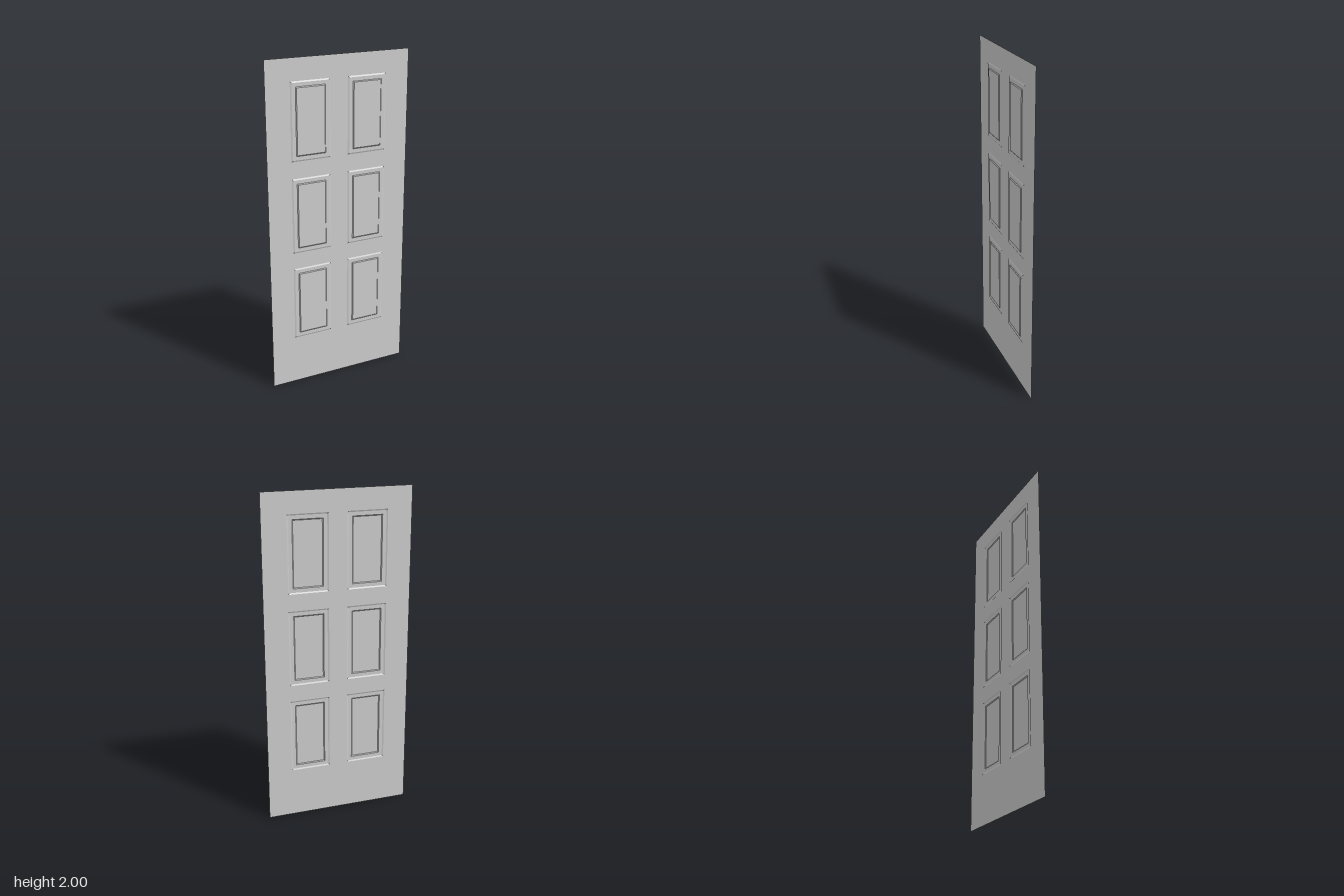
import * as THREE from 'three';

const W = 0.896, H = 2;
const HALF_W = 0.122, HALF_H = 0.228;   // outer half size of a raised panel
const COLUMNS = [-0.178, 0.178];
const ROWS = [0.53, 1.086, 1.643];
// inset from the panel outline and height above the sheet, step by step
const PROFILE = [[0, 0], [0.008, 0.004], [0.031, 0.004], [0.036, 0.008]];

function rectangle(PathType, cx, cy, hw, hh) {
  const p = new PathType();
  p.moveTo(cx - hw, cy - hh);
  p.lineTo(cx + hw, cy - hh);
  p.lineTo(cx + hw, cy + hh);
  p.lineTo(cx - hw, cy + hh);
  p.closePath();
  return p;
}

// Rectangular rings of the profile, joined by quads and closed by a flat field
function panelGeometry() {
  const pos = [], idx = [];
  for (const [inset, z] of PROFILE) {
    const w = HALF_W - inset, h = HALF_H - inset;
    pos.push(-w, -h, z, w, -h, z, w, h, z, -w, h, z);
  }
  for (let r = 0; r < PROFILE.length - 1; r++) {
    for (let i = 0; i < 4; i++) {
      const a = r * 4 + i, b = r * 4 + (i + 1) % 4;
      idx.push(a, b, b + 4, a, b + 4, a + 4);
    }
  }
  const k = (PROFILE.length - 1) * 4;
  idx.push(k, k + 1, k + 2, k, k + 2, k + 3);
  const indexed = new THREE.BufferGeometry();
  indexed.setAttribute('position', new THREE.Float32BufferAttribute(pos, 3));
  indexed.setIndex(idx);
  const geo = indexed.toNonIndexed();
  geo.computeVertexNormals();
  return geo;
}

export function createModel() {
  const model = new THREE.Group();
  model.name = 'door';
  const material = new THREE.MeshStandardMaterial({ color: 0xcccccc, side: THREE.DoubleSide });

  // Thin door sheet, open where the panels are pressed out
  const shape = rectangle(THREE.Shape, 0, H / 2, W / 2, H / 2);
  for (const x of COLUMNS) {
    for (const y of ROWS) shape.holes.push(rectangle(THREE.Path, x, y, HALF_W, HALF_H));
  }
  const leaf = new THREE.Group();
  leaf.name = 'doorLeaf';
  const sheet = new THREE.Mesh(new THREE.ShapeGeometry(shape), material);
  sheet.name = 'doorSheet';
  leaf.add(sheet);

  // Six stepped panels
  const geo = panelGeometry();
  for (const x of COLUMNS) {
    for (const y of ROWS) {
      const panel = new THREE.Mesh(geo, material);
      panel.name = 'raisedPanel';
      panel.position.set(x, y, 0);
      leaf.add(panel);
    }
  }

  // The leaf stands very slightly turned
  leaf.rotation.y = -0.0155;
  leaf.position.z = -0.0026;
  model.add(leaf);
  return model;
}
